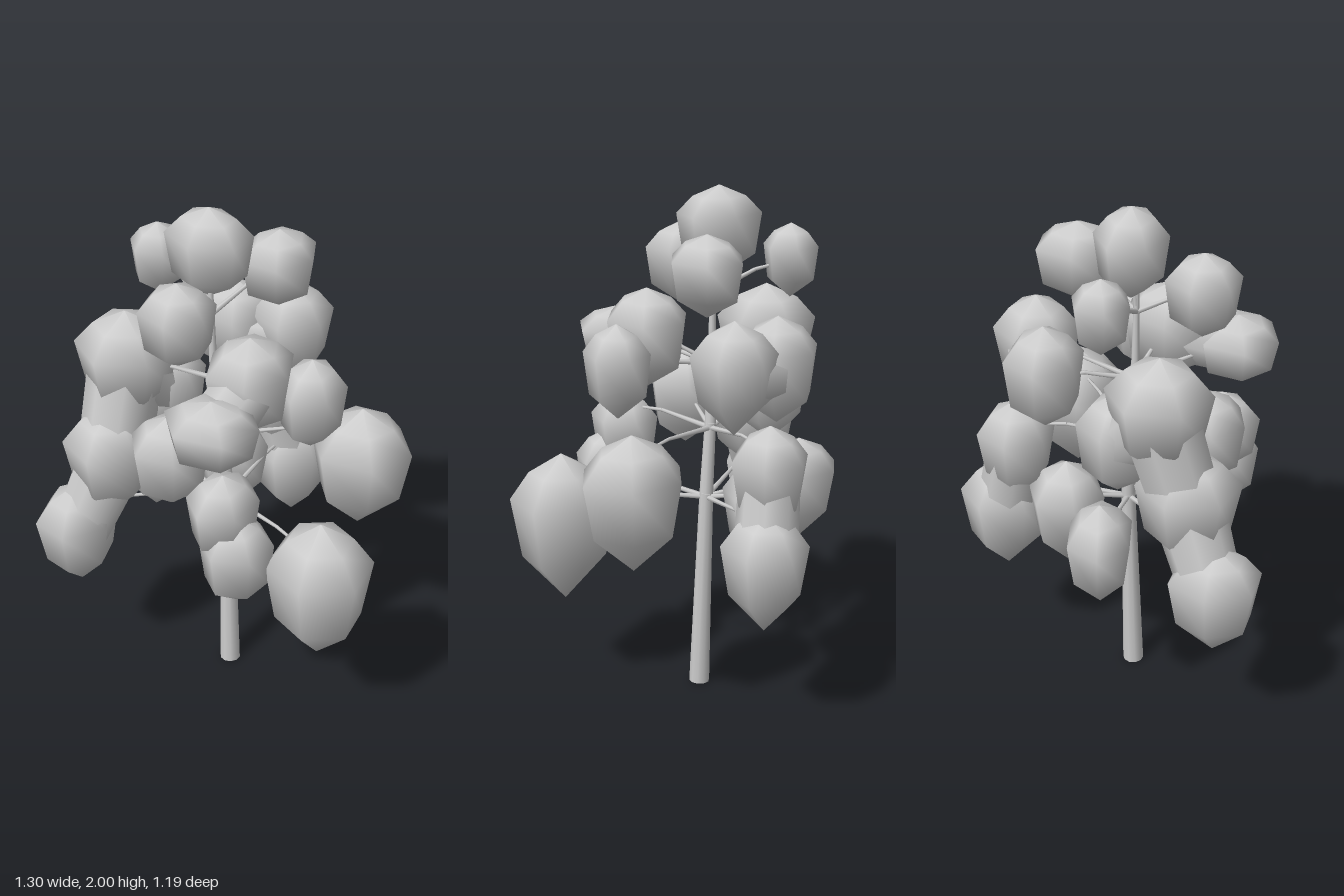
import * as THREE from 'three';

const V = (x, y, z) => new THREE.Vector3(x, y, z);

// Leaf clump: few-sided, smooth shaded body with a pointed top and bottom
function clumpGeometry(lowY, lowR, sides) {
  const profile = [[0, -1], [lowR, lowY], [1.06, 0.4], [0.66, 0.76], [0, 1]];
  return new THREE.LatheGeometry(profile.map(([r, y]) => new THREE.Vector2(r, y)), sides);
}

// Each clump: centre x, y, z, then half sizes x, y, z
const CLUMPS = [
  // crown
  [-0.12, 1.83, 0.07, 0.155, 0.17, 0.125],
  [-0.09, 1.67, 0.32, 0.13, 0.16, 0.13],
  [0.04, 1.72, -0.14, 0.13, 0.15, 0.15],
  [-0.385, 1.71, 0.0, 0.1, 0.14, 0.1],
  // upper tier
  [-0.40, 1.36, 0.2, 0.18, 0.22, 0.18],
  [-0.33, 1.2, 0.05, 0.14, 0.2, 0.14],
  [0.12, 1.43, 0.19, 0.15, 0.19, 0.17],
  [0.12, 1.37, 0.44, 0.165, 0.13, 0.15],
  [0.30, 1.35, 0.07, 0.115, 0.18, 0.13],
  [0.01, 1.38, -0.29, 0.15, 0.21, 0.15],
  [-0.20, 1.37, -0.23, 0.15, 0.2, 0.14],
  // middle tier
  [-0.12, 1.12, 0.35, 0.14, 0.19, 0.14],
  [0.13, 1.0, 0.39, 0.12, 0.17, 0.14],
  [-0.41, 1.0, 0.31, 0.165, 0.23, 0.18],
  [-0.1, 1.0, -0.36, 0.14, 0.21, 0.14],
  [0.37, 0.94, -0.2, 0.19, 0.26, 0.175],
  // lower tier
  [0.19, 0.83, 0.4, 0.13, 0.19, 0.13],
  [0.455, 0.70, 0.26, 0.19, 0.3, 0.18],
  [-0.51, 0.68, 0.42, 0.14, 0.225, 0.165],
  [-0.44, 0.79, 0.0, 0.165, 0.21, 0.12],
  [-0.18, 0.79, -0.16, 0.14, 0.22, 0.14],
  [-0.05, 0.68, -0.42, 0.15, 0.24, 0.165],
];

// Neighbouring clumps that have grown together
const FUSED = [[4, 5], [4, 13], [6, 7], [9, 10], [12, 16], [13, 18], [14, 21]];

export function createModel() {
  const tree = new THREE.Group();
  tree.name = 'tree';
  const material = new THREE.MeshStandardMaterial({ color: 0xcccccc });
  const group = (name) => {
    const g = new THREE.Group();
    g.name = name;
    tree.add(g);
    return g;
  };
  const add = (parent, geometry, name) => {
    const mesh = new THREE.Mesh(geometry, material);
    mesh.name = name;
    parent.add(mesh);
  };
  // Tapered limb between two points
  const limb = (parent, a, b, ra, rb, sides, name) => {
    const dir = b.clone().sub(a);
    const g = new THREE.CylinderGeometry(rb, ra, dir.length(), sides);
    g.applyQuaternion(new THREE.Quaternion().setFromUnitVectors(V(0, 1, 0), dir.normalize()));
    const mid = a.clone().lerp(b, 0.5);
    g.translate(mid.x, mid.y, mid.z);
    add(parent, g, name);
  };

  // Trunk: leaning, tapered sections
  const trunk = group('trunk');
  const path = [V(-0.042, 0, 0.08), V(-0.062, 0.82, 0.058), V(-0.08, 1.1, 0.06),
    V(-0.1, 1.4, 0.085), V(-0.105, 1.78, 0.09)];
  const radii = [0.041, 0.027, 0.022, 0.015, 0.008];
  for (let i = 0; i < 4; i++) {
    limb(trunk, path[i], path[i + 1], radii[i], radii[i + 1], 10, 'trunkSection');
  }
  const trunkAt = (y) => {
    let i = 0;
    while (i < 3 && path[i + 1].y < y) i++;
    return path[i].clone().lerp(path[i + 1], (y - path[i].y) / (path[i + 1].y - path[i].y));
  };

  const foliage = group('foliage');
  const branches = group('branches');
  const round = clumpGeometry(-0.5, 0.9, 6);
  const pointed = clumpGeometry(-0.4, 0.86, 6);
  CLUMPS.forEach(([x, y, z, rx, ry, rz], i) => {
    const g = (ry > 0.2 ? pointed : round).clone();
    g.rotateY(i * 1.3).scale(rx, ry, rz).translate(x, y, z);
    add(foliage, g, 'leafClump');

    // Branch leaves the trunk at one of four forks and bends into the clump
    const fork = y > 1.6 ? 1.6 : y > 1.25 ? 1.33 : y > 0.92 ? 1.08 : 0.8;
    const start = trunkAt(fork);
    const end = V(x, Math.max(y, fork + 0.03), z);
    const bend = start.clone().lerp(end, 0.55);
    bend.y += 0.02;
    limb(branches, start, bend, 0.011, 0.007, 6, 'branch');
    limb(branches, bend, end, 0.007, 0.004, 6, 'branchTip');
  });

  // Leafy necks filling the gap between fused clumps
  for (const [i, j] of FUSED) {
    const [a, b] = [CLUMPS[i], CLUMPS[j]];
    const neck = (c) => 0.8 * Math.min(c[3], c[4], c[5]);
    limb(foliage, V(a[0], a[1], a[2]), V(b[0], b[1], b[2]), neck(a), neck(b), 8, 'leafNeck');
  }

  return tree;
}
